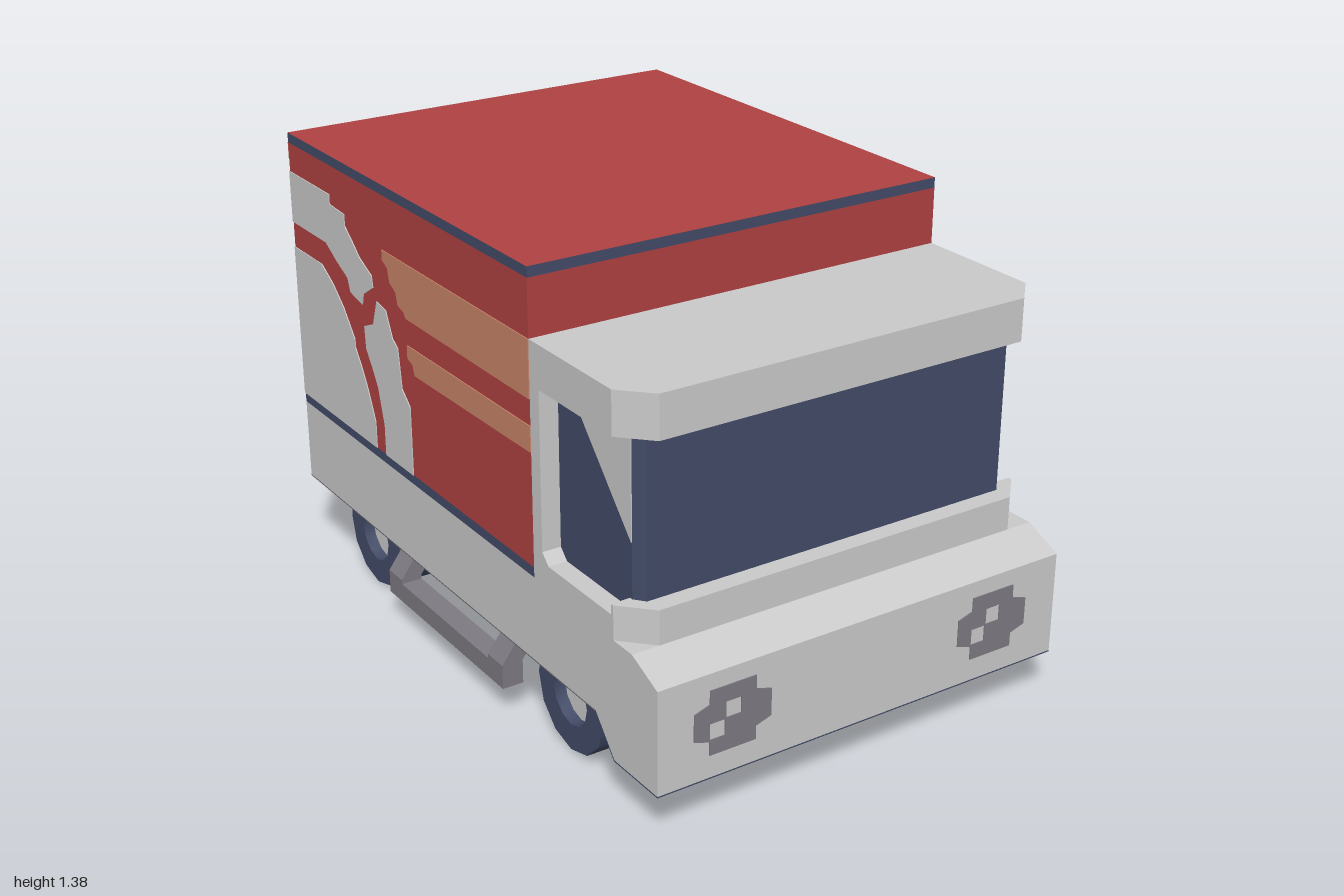
import * as THREE from 'three';
import { toCreasedNormals } from 'three/addons/utils/BufferGeometryUtils.js';

const material = (name, color) => {
  const m = new THREE.MeshStandardMaterial({ color });
  m.name = name;
  return m;
};

export function createModel() {
  const white = material('offWhite', 0xcacaca);
  const red = material('red', 0xb04141);
  const navy = material('navy', 0x424b67);
  const orange = material('orange', 0xc98468);
  const grey = material('grey', 0x7d7a82);
  const under = material('underbodyGrey', 0x6e6e6e);

  const group = new THREE.Group();
  group.name = 'deliveryVan';
  const HALF = 0.662;

  const add = (name, geometry, mat) => {
    const mesh = new THREE.Mesh(geometry, mat);
    mesh.name = name;
    group.add(mesh);
    return mesh;
  };
  const shapeOf = (pts) => new THREE.Shape(pts.map(([a, b]) => new THREE.Vector2(a, b)));
  const extrude = (shape, depth) => new THREE.ExtrudeGeometry(shape, { depth, bevelEnabled: false });
  // box given by its limits
  const box = (name, [x0, x1], [y0, y1], [z0, z1], mat) =>
    add(name, new THREE.BoxGeometry(x1 - x0, y1 - y0, z1 - z0)
      .translate((x0 + x1) / 2, (y0 + y1) / 2, (z0 + z1) / 2), mat);
  // side outline [z, y] extruded across x, centred on cx
  const profile = (name, pts, width, cx, mat) =>
    add(name, extrude(shapeOf(pts), width).rotateY(-Math.PI / 2).translate(cx + width / 2, 0, 0), mat);
  // plan outline [x, z] extruded from y0 to y1
  const plan = (name, pts, y0, y1, mat) =>
    add(name, extrude(shapeOf(pts), y1 - y0).rotateX(Math.PI / 2).translate(0, y1, 0), mat);
  // symmetric plan with chamfered front corners
  const chamfered = (w, back, corner, nose, front) =>
    [[-w, back], [w, back], [w, corner], [nose, front], [-nose, front], [-w, corner]];

  // lower body with front bumper
  profile('lowerBody', [[1, 0.145], [1, 0.45], [0.885, 0.5], [0.41, 0.5], [0.41, 0.505], [-1, 0.505],
    [-1, 0.25], [0.71, 0.25], [0.8, 0.145]], HALF * 2, 0, white);
  profile('bumperUnderside', [[1, 0.145], [1, 0.141], [0.798, 0.141], [0.705, 0.247], [0.71, 0.25], [0.8, 0.145]],
    HALF * 2, 0, navy);
  box('underbody', [-HALF, HALF], [0.246, 0.25], [-1, 0.706], under);

  // cab
  plan('cabSill', chamfered(HALF, 0.41, 0.8, 0.58, 0.885), 0.5, 0.57, white);
  plan('frontSill', chamfered(HALF, 0.79, 0.8, 0.58, 0.885), 0.57, 0.6, white);
  plan('cabRoof', chamfered(HALF, 0.41, 0.8, 0.58, 0.885), 1.062, 1.186, white);
  plan('cabGlass', chamfered(0.605, 0.45, 0.8, 0.58, 0.83), 0.57, 1.062, navy);
  profile('rearCabPillar', [[0.41, 0.57], [0.41, 1.062], [0.455, 1.062], [0.455, 0.6], [0.485, 0.57]],
    HALF * 2, 0, white);

  // cargo box with trim bands
  box('lowerTrim', [-HALF, HALF], [0.505, 0.535], [-1, 0.41], navy);
  box('cargoBox', [-HALF, HALF], [0.535, 1.35], [-1, 0.41], red);
  box('roofTrim', [-HALF, HALF], [1.35, 1.38], [-1, 0.41], [navy, navy, red, navy, navy, navy]);

  // painted shapes on the sides, as [z, y] outlines
  const upperStripe = [[0.41, 1.02], [0.41, 1.186], [-0.40, 1.186], [-0.40, 1.155], [-0.37, 1.14], [-0.36, 1.10],
    [-0.325, 1.08], [-0.315, 1.045], [-0.28, 1.035], [-0.27, 1.02]];
  const lowerStripe = [[0.41, 0.87], [0.41, 0.945], [-0.27, 0.94], [-0.27, 0.90], [-0.24, 0.89], [-0.23, 0.86]];
  const upperArc = [[-1, 1.26], [-0.73, 1.26], [-0.73, 1.23], [-0.635, 1.225], [-0.635, 1.19], [-0.59, 1.155],
    [-0.55, 1.12], [-0.475, 1.085], [-0.47, 1.05], [-0.535, 1.01], [-0.545, 0.975], [-0.62, 0.99],
    [-0.635, 1.03], [-0.7, 1.06], [-0.77, 1.1], [-1, 1.1]];
  const leftArc = [[-0.27, 0.535], [-0.27, 0.75], [-0.315, 0.79], [-0.33, 0.91], [-0.36, 0.93], [-0.395, 1.005],
    [-0.45, 1.015], [-0.48, 0.935], [-0.54, 0.91], [-0.535, 0.84], [-0.5, 0.79], [-0.47, 0.74],
    [-0.44, 0.63], [-0.44, 0.535]];
  const disc = [[-0.5, 0.535], [-0.5, 0.62], [-0.54, 0.71], [-0.575, 0.77], [-0.61, 0.82], [-0.61, 0.845],
    [-0.675, 0.925], [-0.74, 0.98], [-0.81, 1.02], [-1, 1.02], [-1, 0.535]];
  const reflection = [[0.8, 0.76], [0.8, 1.062], [0.53, 1.062]];

  for (const s of [1, -1]) {
    const cx = s * (HALF + 0.001);
    profile('upperStripe', upperStripe, 0.004, cx, orange);
    profile('lowerStripe', lowerStripe, 0.004, cx, orange);
    profile('upperArc', upperArc, 0.004, cx, white);
    profile('leftArc', leftArc, 0.004, cx, white);
    profile('discPanel', disc, 0.004, cx, white);
    profile('windowReflection', reflection, 0.004, s * 0.606, white);

    // rear door frame and handle
    const span = (a, b) => (s > 0 ? [a, b] : [-b, -a]);
    const rear = [-1.003, -0.999];
    box('doorFrameTop', span(0.1, HALF), [1.3, 1.35], rear, orange);
    box('doorFrameSide', span(0.045, 0.1), [0.535, 1.35], rear, orange);
    box('doorHandleUpper', span(0.195, 0.247), [0.695, 0.8], rear, navy);
    box('doorHandleLower', span(0.145, 0.195), [0.64, 0.745], rear, navy);

    // side guard: two slanted legs and a rail
    const leg = shapeOf([[0.62, 0.095], [0.685, 0.095], [0.685, 0.168], [0.625, 0.25], [0.56, 0.25], [0.62, 0.168]]
      .map(([x, y]) => [s * x, y]));
    for (const z of [0.18, -0.42]) add('guardLeg', extrude(leg, 0.08).translate(0, 0, z), grey);
    box('guardRail', span(0.62, 0.685), [0.095, 0.155], [-0.34, 0.18], grey);

    // headlight with two bright squares left open
    const lamp = shapeOf([[-0.072, -0.095], [0.072, -0.095], [0.072, -0.055], [0.12, -0.04], [0.12, 0.04],
      [0.072, 0.055], [0.072, 0.095], [-0.072, 0.095], [-0.072, 0.055], [-0.12, 0.04], [-0.12, -0.04], [-0.072, -0.055]]);
    for (const [x, y] of [[-0.072, -0.049], [-0.022, 0.001]]) {
      lamp.holes.push(new THREE.Path([[x, y], [x, y + 0.047], [x + 0.047, y + 0.047], [x + 0.047, y]]
        .map(([a, b]) => new THREE.Vector2(a, b))));
    }
    add('headlight', extrude(lamp, 0.004).translate(s * 0.433, 0.307, 0.999), grey);

    // wheels with recessed hubs
    const tyre = [[0, -0.105], [0.165, -0.105], [0.165, 0.105], [0.085, 0.105], [0.085, 0.06]]
      .map(([r, h]) => new THREE.Vector2(r, h));
    for (const z of [0.5, -0.655]) {
      const wheel = new THREE.Group();
      wheel.name = 'wheel';
      const tyreMesh = new THREE.Mesh(toCreasedNormals(new THREE.LatheGeometry(tyre, 12), 0.7), navy);
      tyreMesh.name = 'tyre';
      const hub = new THREE.Mesh(new THREE.CylinderGeometry(0.085, 0.085, 0.02, 12), white);
      hub.name = 'hub';
      hub.position.y = 0.06;
      wheel.add(tyreMesh, hub);
      wheel.rotation.z = -s * Math.PI / 2;
      wheel.position.set(s * 0.507, 0.167, z);
      group.add(wheel);
    }
  }

  // strip between the rear doors
  box('doorCentreStrip', [-0.045, 0.045], [0.535, 1.35], [-1.003, -0.999], navy);

  return group;
}
